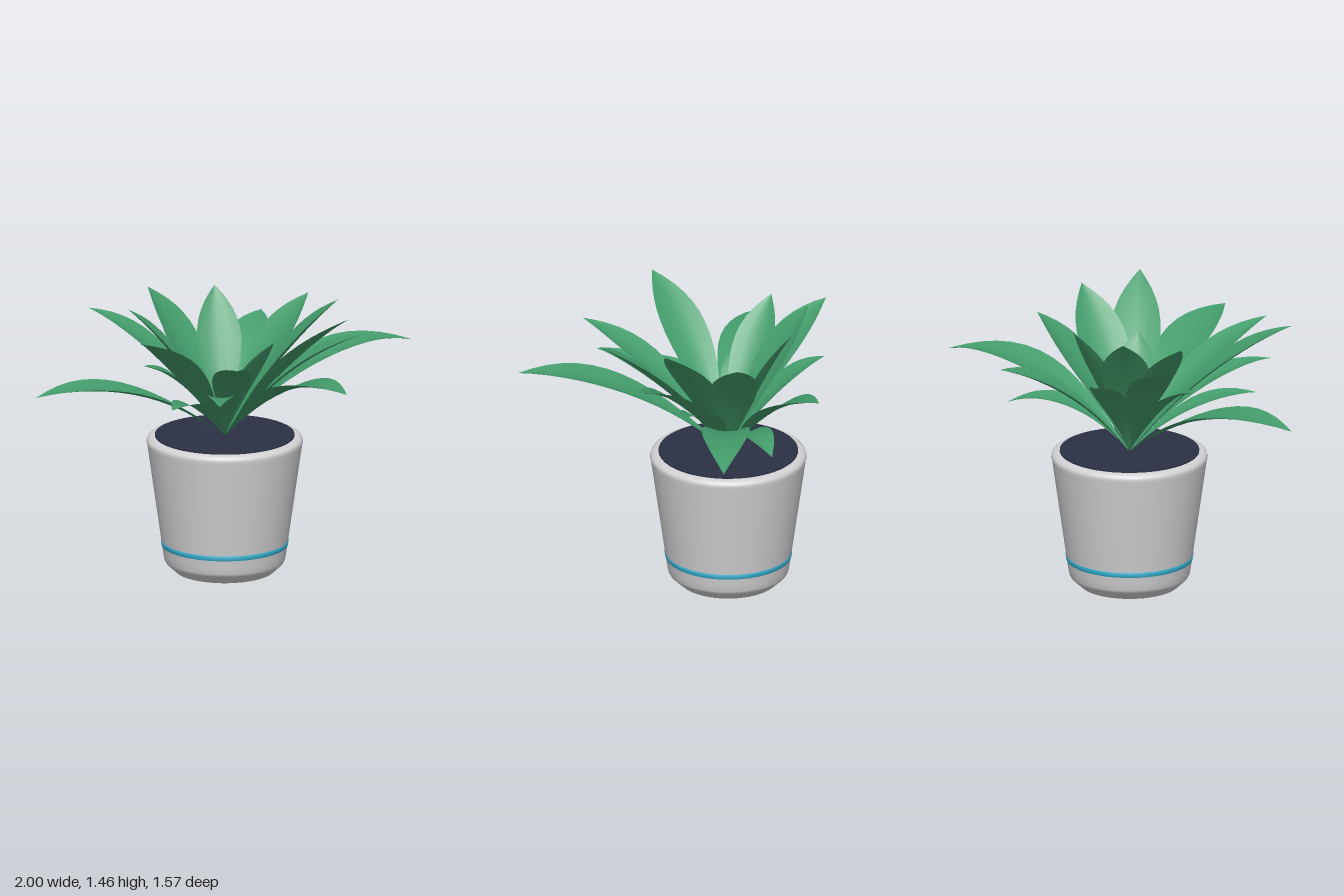
import * as THREE from 'three';

const paint = (name, color, extra = {}) => {
  const m = new THREE.MeshStandardMaterial({ color, ...extra });
  m.name = name;
  return m;
};

// Arching blade from the root to a tip: a pointed oval swept along a curve, slightly cupped
function leafGeometry(root, tip, bulge, width) {
  const control = root.clone().lerp(tip, 0.5);
  control.y += bulge;
  const spine = new THREE.QuadraticBezierCurve3(root, control, tip);
  const side = new THREE.Vector3(tip.z - root.z, 0, root.x - tip.x).normalize();
  const rows = 14, cols = 4, positions = [], index = [];
  for (let i = 0; i <= rows; i++) {
    const t = i / rows;
    const centre = spine.getPoint(t);
    const up = new THREE.Vector3().crossVectors(spine.getTangent(t), side).normalize();
    const half = width * 0.5 * Math.max(Math.sin(Math.PI * Math.pow(t, 1.25)), 0.005);
    for (let j = 0; j <= cols; j++) {
      const s = (j / cols) * 2 - 1;
      const p = centre.clone().addScaledVector(side, s * half)
        .addScaledVector(up, half * 0.22 * (s * s - 0.3));
      positions.push(p.x, p.y, p.z);
      if (i < rows && j < cols) {
        const a = i * (cols + 1) + j, b = a + cols + 1;
        index.push(a, b, a + 1, a + 1, b, b + 1);
      }
    }
  }
  const g = new THREE.BufferGeometry();
  g.setAttribute('position', new THREE.Float32BufferAttribute(positions, 3));
  g.setIndex(index);
  g.computeVertexNormals();
  return g;
}

export function createModel() {
  const model = new THREE.Group();
  model.name = 'pottedPlant';
  const potZ = -0.147;

  const potMat = paint('potGrey', 0xd2d2d4);
  const stripeMat = paint('stripeBlue', 0x35b5d6);
  const soilMat = paint('soilNavy', 0x2b3045);
  const leafMat = paint('leafGreen', 0x449d6c, { side: THREE.DoubleSide });

  const add = (name, geometry, material, y = 0) => {
    const mesh = new THREE.Mesh(geometry, material);
    mesh.name = name;
    mesh.position.set(0, y, potZ);
    model.add(mesh);
  };
  const lathe = (pts) => new THREE.LatheGeometry(pts.map(([r, y]) => new THREE.Vector2(r, y)), 48);

  // Tapered pot with a bevelled foot and a rounded rim
  add('pot', lathe([
    [0, 0], [0.245, 0], [0.255, 0.003], [0.305, 0.05], [0.312, 0.065],
    [0.318, 0.1], [0.4, 0.68], [0.404, 0.695], [0.4, 0.71], [0.385, 0.72], [0.365, 0.724], [0.34, 0.724],
  ]), potMat);

  // Painted band near the foot
  add('stripe', lathe([[0.318, 0.141], [0.3265, 0.141], [0.33, 0.167], [0.32, 0.167]]), stripeMat);

  // Soil disc
  add('soil', new THREE.CylinderGeometry(0.36, 0.36, 0.014, 48), soilMat, 0.724);

  // Leaves: tip x, y, z, arch height, width
  const leaves = [
    [1.0, 1.08, -0.63, 0.36, 0.25], [-1.0, 1.05, 0.22, 0.27, 0.25],
    [0.57, 1.2, 0.78, 0.28, 0.26], [0.23, 1.21, -0.79, 0.2, 0.24],
    [0.01, 1.31, 0.69, 0.2, 0.2], [-0.08, 1.11, 0.66, 0.24, 0.17],
    [-0.48, 1.42, 0.54, 0.2, 0.24], [-0.31, 1.03, 0.43, 0.18, 0.18],
    [0.61, 1.46, 0.29, 0.14, 0.26], [0.72, 1.3, 0.01, 0.2, 0.22],
    [0.6, 1.15, -0.19, 0.18, 0.19], [0.58, 1.46, -0.08, 0.14, 0.27],
    [0.43, 0.95, -0.62, 0.26, 0.17], [0.45, 1.4, -0.43, 0.14, 0.25],
    [-0.38, 1.45, -0.42, 0.14, 0.25], [-0.03, 1.43, -0.5, 0.12, 0.23],
    [-0.3, 1.22, -0.55, 0.18, 0.18], [-0.69, 1.36, -0.36, 0.22, 0.22],
    [-0.5, 1.41, -0.14, 0.16, 0.22], [-0.43, 1.14, -0.02, 0.17, 0.17],
    [0.24, 1.27, 0.05, 0.1, 0.21],
  ];
  const foliage = new THREE.Group();
  foliage.name = 'foliage';
  leaves.forEach(([x, y, z, bulge, width], i) => {
    const root = new THREE.Vector3(0, 0.72, potZ);
    const leaf = new THREE.Mesh(leafGeometry(root, new THREE.Vector3(x, y, z), bulge, width), leafMat);
    leaf.name = `leaf${i + 1}`;
    foliage.add(leaf);
  });
  model.add(foliage);
  return model;
}
